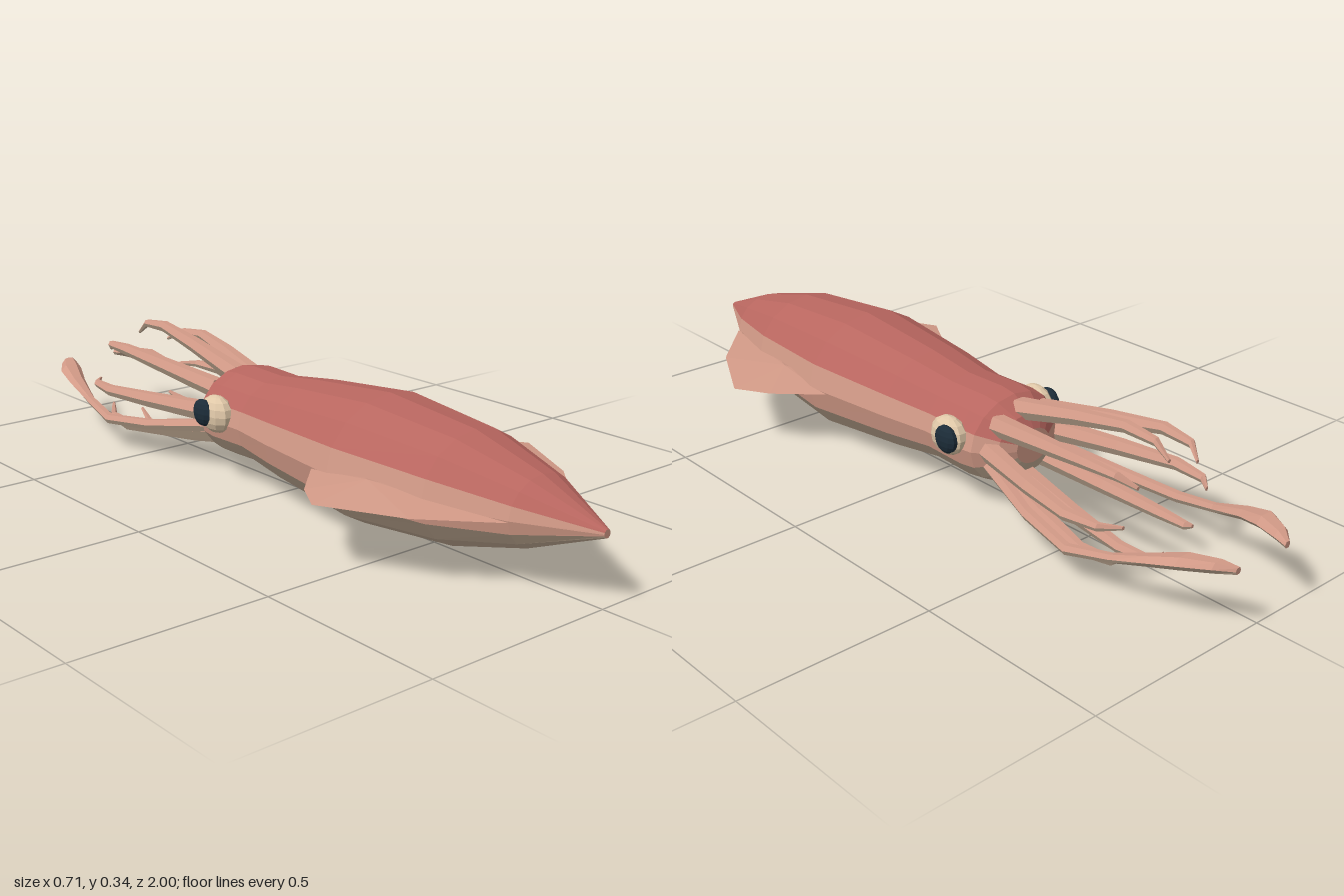
import * as THREE from 'three';

const material = (name, color) => Object.assign(new THREE.MeshStandardMaterial({ color }), { name });
const MID = 0.173; // height of the body axis

export function createModel() {
  const red = material('back red', 0xb8665f);
  const salmon = material('flank salmon', 0xd29a87);
  const beige = material('belly beige', 0xc9b199);
  const cream = material('eye cream', 0xe0c8a8);
  const dark = material('pupil dark', 0x1c2c38);
  const skin = [red, salmon, beige];

  const model = new THREE.Group();
  model.name = 'squid';

  // Flat-faced mesh; each triangle takes its colour from its normal and centre
  function skinMesh(name, triangles, colourOf) {
    const buckets = [[], [], []];
    for (const [a, b, c] of triangles) {
      const triangle = new THREE.Triangle(a, b, c);
      const n = triangle.getNormal(new THREE.Vector3());
      const centre = triangle.getMidpoint(new THREE.Vector3());
      buckets[colourOf(n, centre)].push(...a.toArray(), ...b.toArray(), ...c.toArray());
    }
    const geometry = new THREE.BufferGeometry();
    geometry.setAttribute('position', new THREE.Float32BufferAttribute(buckets.flat(), 3));
    let start = 0;
    buckets.forEach((bucket, i) => {
      geometry.addGroup(start, bucket.length / 3, i);
      start += bucket.length / 3;
    });
    geometry.computeVertexNormals();
    const mesh = new THREE.Mesh(geometry, skin);
    mesh.name = name;
    model.add(mesh);
  }

  // Closed loft through ellipses [z, x, y, rx, ry], listed with z rising
  function loft(sections, sides) {
    const rings = sections.map(([z, x, y, rx, ry]) =>
      Array.from({ length: sides }, (_, j) => {
        const a = (j / sides) * Math.PI * 2;
        return new THREE.Vector3(x + rx * Math.cos(a), y + ry * Math.sin(a), z);
      }));
    const [first, last] = [sections[0], sections.at(-1)].map(([z, x, y]) => new THREE.Vector3(x, y, z));
    const triangles = [];
    for (let j = 0; j < sides; j++) {
      const k = (j + 1) % sides;
      for (let i = 0; i < rings.length - 1; i++) {
        const [a, b, c, d] = [rings[i][j], rings[i][k], rings[i + 1][k], rings[i + 1][j]];
        triangles.push([a, b, d], [b, c, d]);
      }
      triangles.push([first, rings[0][k], rings[0][j]]);
      triangles.push([last, rings.at(-1)[j], rings.at(-1)[k]]);
    }
    return triangles;
  }

  // Red back, salmon flanks and end caps, beige belly, split by angle round the axis
  const bodyColour = (n, centre) => {
    if (Math.abs(n.z) > 0.99) return 1;
    const angle = Math.atan2((centre.y - MID) / 0.81, Math.abs(centre.x));
    return angle > Math.PI / 8 ? 0 : angle < -Math.PI / 8 ? 2 : 1;
  };
  const limbColour = (n) => (n.y > -0.1 ? 1 : 2);

  // Head and mantle
  const profile = [
    [-0.305, 0.055, 0.045], [-0.285, 0.1, 0.081], [-0.235, 0.142, 0.115], [-0.19, 0.148, 0.121],
    [-0.07, 0.145, 0.118], [0.07, 0.168, 0.137], [0.34, 0.2, 0.162], [0.62, 0.167, 0.137],
    [0.82, 0.105, 0.084], [1, 0.01, 0.01],
  ];
  skinMesh('body', loft(profile.map(([z, rx, ry]) => [z, 0, MID, rx, ry]), 16), bodyColour);

  // Eight arms spread around the head, tips curling inward: [z, spread x, spread y, thickness]
  const arm = [
    [-0.73, 0.14, 0.117, 0.005], [-0.69, 0.176, 0.15, 0.011], [-0.6, 0.188, 0.156, 0.016],
    [-0.45, 0.155, 0.128, 0.022], [-0.25, 0.1, 0.082, 0.029],
  ];
  for (let i = 0; i < 8; i++) {
    const a = (i / 8) * Math.PI * 2;
    const sections = arm.map(([z, sx, sy, r]) => [z, sx * Math.cos(a), MID + sy * Math.sin(a), r, r]);
    skinMesh('arm', loft(sections, 6), limbColour);
  }

  // Two long tentacles ending in clubs
  const tentacle = [
    [-1, 0.083, 0.165, 0.009, 0.009], [-0.965, 0.105, 0.169, 0.024, 0.015], [-0.9, 0.137, 0.165, 0.034, 0.018],
    [-0.83, 0.158, 0.146, 0.025, 0.015], [-0.73, 0.175, 0.113, 0.013, 0.012], [-0.61, 0.189, 0.088, 0.015, 0.014],
    [-0.45, 0.158, 0.102, 0.017, 0.016], [-0.25, 0.095, 0.135, 0.021, 0.02],
  ];

  // Fin outline [x, z] from front root round the tip to the rear, closed inside the body
  const finOutline = [[0.1, 0.3], [0.195, 0.28], [0.3, 0.38], [0.353, 0.47], [0.25, 0.67], [0.108, 0.82], [0.06, 0.8]];

  for (const side of [1, -1]) {
    const sideName = side > 0 ? 'left' : 'right';
    skinMesh(`${sideName}Tentacle`, loft(tentacle.map(([z, x, ...rest]) => [z, side * x, ...rest]), 6), limbColour);

    // Fin: shallow ridge above and below a thin edge
    const edge = finOutline.map(([x, z]) => new THREE.Vector3(side * x, 0.17, z));
    const top = new THREE.Vector3(side * 0.19, 0.193, 0.47);
    const bottom = new THREE.Vector3(side * 0.19, 0.156, 0.47);
    const triangles = [];
    edge.forEach((p, i) => {
      const q = edge[(i + 1) % edge.length];
      const [a, b] = side > 0 ? [q, p] : [p, q];
      triangles.push([top, a, b], [bottom, b, a]);
    });
    skinMesh(`${sideName}Fin`, triangles, (n) => (n.y > 0 ? 1 : 2));

    // Eye: flattened ball with a dark lens
    const eyePart = (name, mat, radii, position) => {
      const geometry = new THREE.SphereGeometry(1, 10, 8).scale(...radii).toNonIndexed();
      geometry.computeVertexNormals();
      const mesh = new THREE.Mesh(geometry, mat);
      mesh.name = `${sideName}${name}`;
      mesh.position.set(side * position[0], position[1], position[2]);
      model.add(mesh);
    };
    eyePart('Eyeball', cream, [0.036, 0.05, 0.057], [0.145, 0.196, -0.16]);
    eyePart('Pupil', dark, [0.018, 0.036, 0.037], [0.173, 0.2, -0.181]);
  }

  return model;
}
